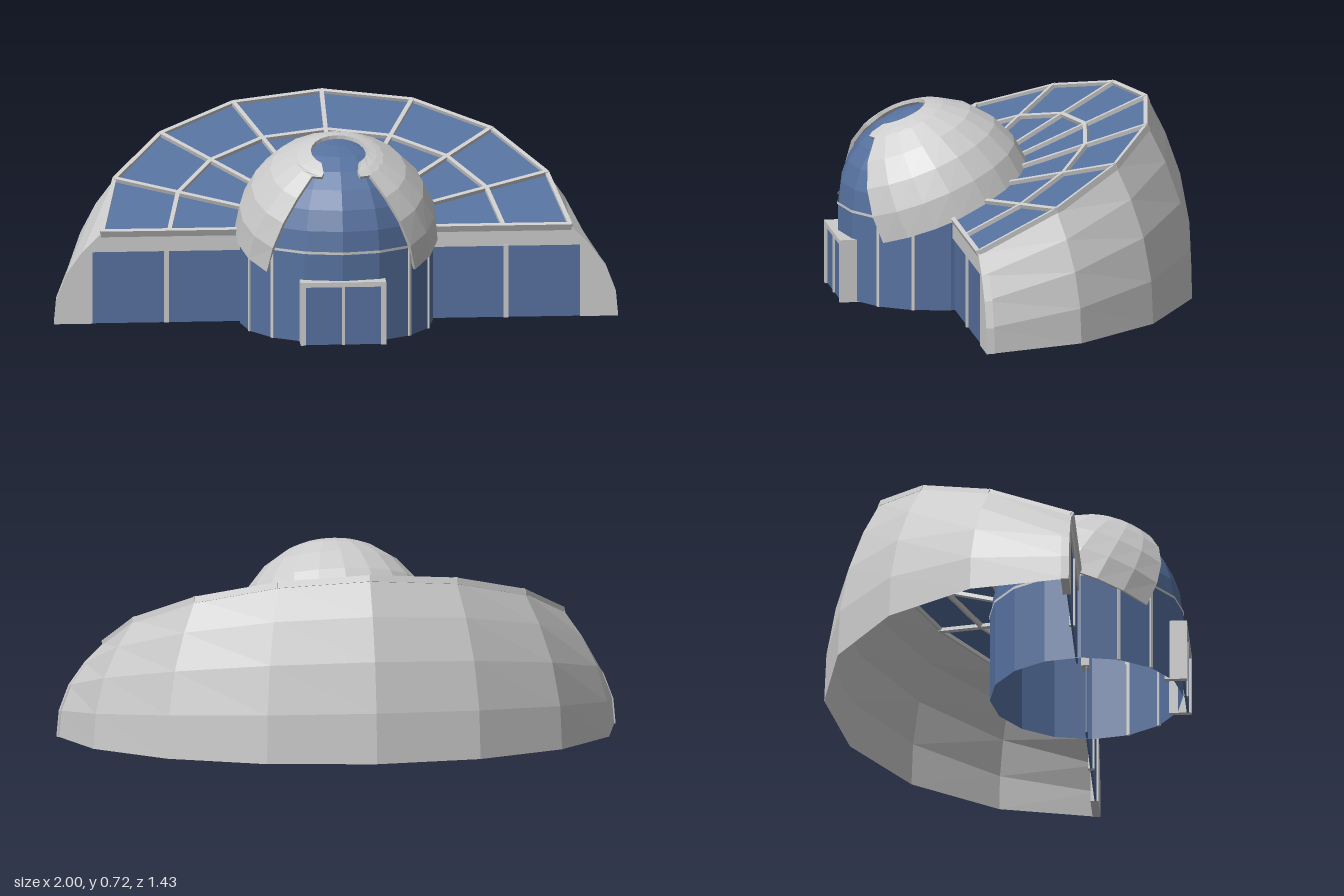
import * as THREE from 'three';

const V = (x, y, z) => new THREE.Vector3(x, y, z);
const D = THREE.MathUtils.degToRad;
const GREY = new THREE.MeshStandardMaterial({ color: 0xcccccc, flatShading: true, side: THREE.DoubleSide });
const GLASS = new THREE.MeshStandardMaterial({ color: 0x56719f, flatShading: true, side: THREE.DoubleSide });

function add(parent, name, geometry, material, x = 0, y = 0, z = 0) {
  const mesh = new THREE.Mesh(geometry, material);
  mesh.name = name;
  mesh.position.set(x, y, z);
  parent.add(mesh);
  return mesh;
}

// Skin joining rows of points, each row having the same number of points
function skin(rows) {
  const n = rows[0].length, index = [];
  for (let i = 0; i < rows.length - 1; i++) {
    for (let j = 0; j < n - 1; j++) {
      const a = i * n + j, b = a + n;
      index.push(a, b, a + 1, a + 1, b, b + 1);
    }
  }
  const g = new THREE.BufferGeometry().setFromPoints(rows.flat());
  g.setIndex(index);
  const flat = g.toNonIndexed();
  flat.computeVertexNormals();
  return flat;
}

// Rectangular bar between two points
function bar(parent, name, a, b, w, h, up = V(0, 1, 0)) {
  const mesh = new THREE.Mesh(new THREE.BoxGeometry(w, h, a.distanceTo(b)), GREY);
  mesh.name = name;
  mesh.up.copy(up);
  mesh.position.copy(a).lerp(b, 0.5);
  mesh.lookAt(b);
  parent.add(mesh);
}

const SEG = 8;
const RX = 0.881, RZ = 0.805;            // roof edge radii
const OX = 1.056, OZ = 0.972;            // ground edge radii
const RISE = 0.345, EAVE = 0.35;
// Shell section: [height fraction, outward fraction]
const SECTION = [[0, 1], [0.28, 0.95], [0.56, 0.74], [0.8, 0.4], [1, 0]];

function roofPoint(k, i, lift = 0) {
  const a = (Math.PI * i) / SEG, s = Math.sin(a);
  return V(RX * k * Math.cos(a), EAVE + RISE * k * s + lift, -RZ * k * s);
}

function buildWing(parent) {
  const wing = new THREE.Group();
  wing.name = 'wing';
  parent.add(wing);
  const steps = Array.from({ length: SEG + 1 }, (_, i) => i);

  // Curved outer shell
  const shellRows = SECTION.map(([h, f]) => steps.map((i) => {
    const a = (Math.PI * i) / SEG, s = Math.sin(a);
    const base = 0.006 + 0.012 * s;
    return V((RX + (OX - RX) * f) * Math.cos(a), base + (EAVE + RISE * s - base) * h,
      -(RZ + (OZ - RZ) * f) * s);
  }));
  add(wing, 'outerShell', skin(shellRows), GREY);

  // Sloping glass roof with radial ribs and two polygon rings
  const inner = 0.39, mid = 0.71;
  add(wing, 'roofGlass', skin([1, inner].map((k) => steps.map((i) => roofPoint(k, i)))), GLASS);
  const up = V(0, RZ, RISE).normalize();
  for (const i of steps) {
    bar(wing, 'roofRib', roofPoint(inner, i), roofPoint(1, i), 0.016, 0.03, up);
    if (i === SEG) continue;
    bar(wing, 'roofMiddleRing', roofPoint(mid, i), roofPoint(mid, i + 1), 0.016, 0.03, up);
    bar(wing, 'roofEdge', roofPoint(0.995, i), roofPoint(0.995, i + 1), 0.016, 0.025, up);
  }

  // Front walls: lintel and end post, with glazing
  for (const side of [1, -1]) {
    const pts = [[0.3, 0.28], [0.3, EAVE], ...[...SECTION].reverse()
      .map(([h, f]) => [RX + (OX - RX) * f, 0.006 + (EAVE - 0.006) * h]), [0.913, 0.006], [0.913, 0.28]];
    const shape = new THREE.Shape(pts.map(([x, y]) => new THREE.Vector2(x * side, y)));
    add(wing, 'frontWall', new THREE.ExtrudeGeometry(shape, { depth: 0.03, bevelEnabled: false }),
      GREY, 0, 0, -0.027);
    add(wing, 'frontGlass', new THREE.BoxGeometry(0.61, 0.28, 0.008), GLASS, side * 0.61, 0.146, -0.008);
    add(wing, 'frontMullion', new THREE.BoxGeometry(0.018, 0.28, 0.024), GREY, side * 0.635, 0.146, -0.008);
  }
}

function buildTower(parent) {
  const tower = new THREE.Group();
  tower.name = 'tower';
  tower.position.z = 0.01;
  parent.add(tower);
  const R = 0.362, H = 0.345;

  // Glass drum and inner glass dome
  add(tower, 'towerWall', new THREE.CylinderGeometry(R, R, H, 16, 1, true), GLASS, 0, H / 2 + 0.003, 0);
  add(tower, 'innerDome', new THREE.SphereGeometry(R - 0.003, 16, 7, 0, Math.PI * 2, 0, Math.PI / 2),
    GLASS, 0, H, 0);
  add(tower, 'towerBand', new THREE.CylinderGeometry(R + 0.003, R + 0.003, 0.01, 16, 1, true), GREY, 0, H, 0);
  for (const deg of [45, 67.5, -45, -67.5]) {
    const strip = add(tower, 'towerMullion', new THREE.BoxGeometry(0.012, H, 0.01), GREY,
      R * Math.sin(D(deg)), H / 2 + 0.003, R * Math.cos(D(deg)));
    strip.rotation.y = D(deg);
  }

  // Outer dome tilted forward, with a keyhole opening: [angle from pole, half opening]
  const rows = [[16, 42], [22, 27], [25, 27], [26.5, 40], [42, 41], [58, 43], [74, 45], [90, 47]];
  const dome = (r) => rows.map(([t, o]) => Array.from({ length: 17 }, (_, j) => {
    const a = D(o + ((360 - 2 * o) * j) / 16), s = r * Math.sin(D(t));
    return V(s * Math.sin(a), r * Math.cos(D(t)), s * Math.cos(a));
  }));
  const out = dome(0.38), inn = dome(0.366);
  const cover = new THREE.Group();
  cover.name = 'domeCover';
  cover.position.y = H;
  cover.rotation.x = D(21);
  tower.add(cover);
  add(cover, 'domeOuter', skin(out), GREY);
  add(cover, 'domeInner', skin(inn), GREY);
  // Rim closing the cover's thickness all the way round
  const loop = (g) => [...g[0], ...g.slice(1).map((r) => r[16]),
    ...[...g[7]].reverse().slice(1), ...[...g].reverse().slice(1).map((r) => r[0])];
  add(cover, 'domeRim', skin([loop(out), loop(inn)]), GREY);
}

function buildDoor(parent) {
  const door = new THREE.Group();
  door.name = 'door';
  parent.add(door);
  const W = 0.16, H = 0.24, front = 0.395, back = 0.31, depth = front - back, z = (front + back) / 2;
  for (const s of [1, -1]) {
    add(door, 'doorJamb', new THREE.BoxGeometry(0.02, H, depth), GREY, s * (W - 0.01), H / 2, z);
    add(door, 'doorGlass', new THREE.BoxGeometry(W - 0.02, H - 0.015, 0.008), GLASS,
      s * (W - 0.02) / 2, (H - 0.015) / 2, front - 0.014);
  }
  add(door, 'doorLintel', new THREE.BoxGeometry(W * 2, 0.018, depth), GREY, 0, H - 0.009, z);
  add(door, 'doorMullion', new THREE.BoxGeometry(0.012, H - 0.018, 0.016), GREY, 0, (H - 0.018) / 2, front - 0.012);
}

export function createModel() {
  const model = new THREE.Group();
  model.name = 'observatory';
  const body = new THREE.Group();
  body.name = 'building';
  body.position.set(0.04, 0, 0.27);
  body.rotation.y = D(24.6);
  model.add(body);
  buildWing(body);
  buildTower(body);
  buildDoor(body);
  return model;
}
